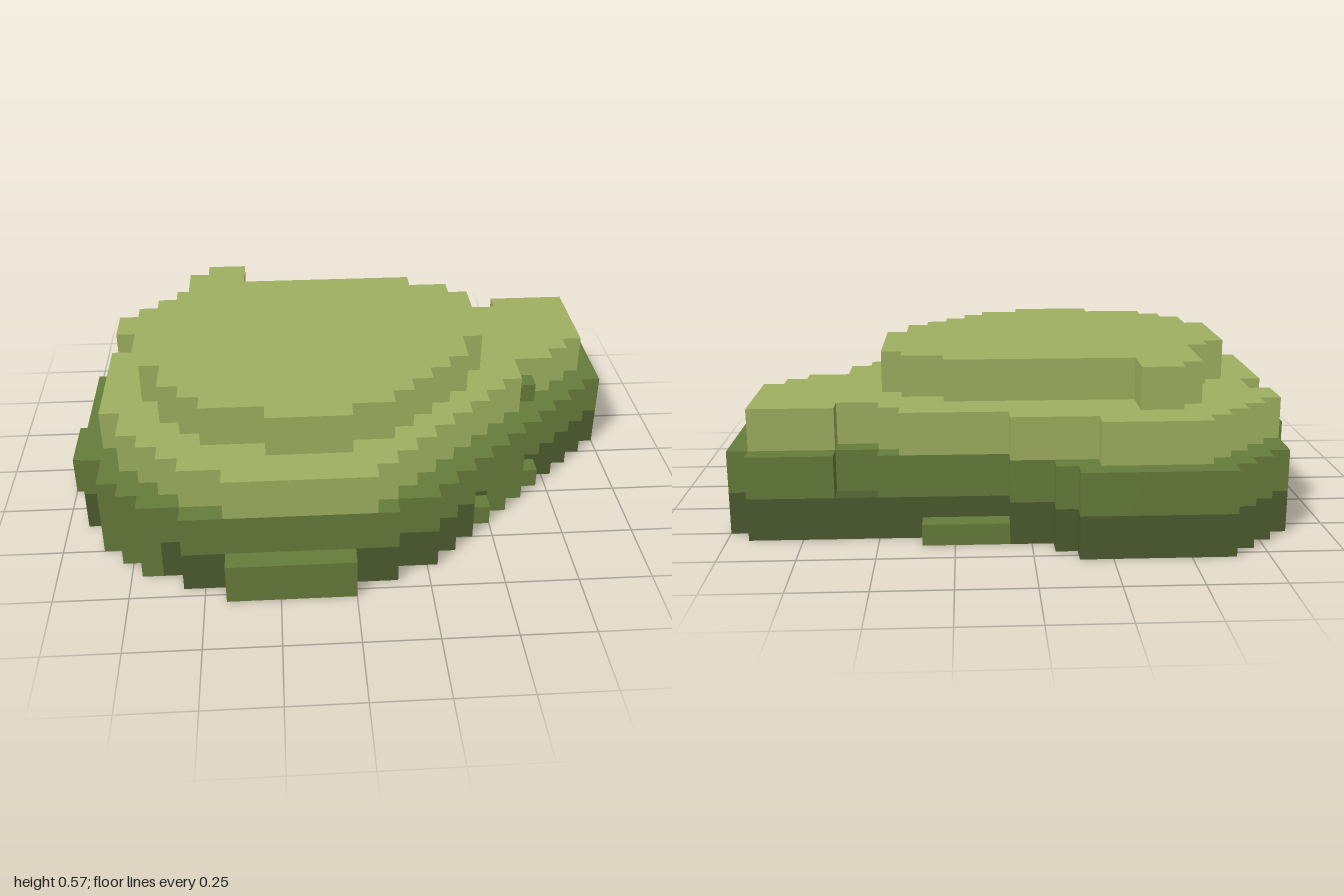
import * as THREE from 'three';

const U = 1 / 14; // one cell

const paint = (name, color) => {
  const m = new THREE.MeshStandardMaterial({ color, side: THREE.DoubleSide });
  m.name = name;
  return m;
};

// A mask is a set of cells, given as [row z, [x0, x1], ...] spans
function mask(rows) {
  const set = new Set();
  for (const [z, ...spans] of rows)
    for (const [a, b] of spans) for (let x = a; x < b; x++) set.add(x + ',' + z);
  return set;
}
// One span per row, counted from the row z0
const spans = (z0, list) => list.map((s, i) => [z0 + i, s]);
const without = (a, b) => new Set([...a].filter((c) => !b.has(c)));
const union = (...sets) => new Set(sets.flatMap((s) => [...s]));
const NONE = new Set();

// Open-bottomed slab of cells: outline walls, tops not under `above`,
// undersides that overhang `below`, no walls against `beside`
function slab(name, cells, y0, y1, material, { above = NONE, below = null, beside = NONE } = {}) {
  const pos = [];
  const quad = (a, b, c, d) => {
    for (const p of [a, b, c, a, c, d]) pos.push(p[0] * U, p[1] * U, p[2] * U);
  };
  for (const key of cells) {
    const [x, z] = key.split(',').map(Number);
    const X = x + 1, Z = z + 1;
    const open = (i, j) => !cells.has(i + ',' + j) && !beside.has(i + ',' + j);
    if (!above.has(key)) quad([x, y1, z], [x, y1, Z], [X, y1, Z], [X, y1, z]);
    if (below && !below.has(key)) quad([x, y0, z], [X, y0, z], [X, y0, Z], [x, y0, Z]);
    if (open(X, z)) quad([X, y0, Z], [X, y0, z], [X, y1, z], [X, y1, Z]);
    if (open(x - 1, z)) quad([x, y0, z], [x, y0, Z], [x, y1, Z], [x, y1, z]);
    if (open(x, Z)) quad([x, y0, Z], [X, y0, Z], [X, y1, Z], [x, y1, Z]);
    if (open(x, z - 1)) quad([X, y0, z], [x, y0, z], [x, y1, z], [X, y1, z]);
  }
  const g = new THREE.BufferGeometry();
  g.setAttribute('position', new THREE.Float32BufferAttribute(pos, 3));
  g.computeVertexNormals();
  const mesh = new THREE.Mesh(g, material);
  mesh.name = name;
  return mesh;
}

export function createModel() {
  const light = paint('lightMoss', 0x9fb060);
  const mid = paint('midMoss', 0x667c3b);
  const dark = paint('darkMoss', 0x4d5c2f);

  // Second terrace, widest outline, with a notch at the back
  const second = mask([
    ...spans(-11, [[-9, -2], [-10, -1], [-11, 1]]),
    [-8, [-12, 7], [9, 13]],
    ...spans(-7, [
      [-12, 14], [-12, 14], [-12, 14], [-12, 14], [-13, 14], [-13, 14], [-13, 13],
      [-13, 12], [-13, 11], [-13, 10], [-13, 9], [-13, 8], [-12, 7], [-12, 6],
      [-11, 5], [-10, 4], [-8, 2],
    ]),
  ]);
  const third = mask([
    ...spans(-10, [[-8, -3], [-9, 1], [-10, 6]]),
    [-7, [-11, 7], [9, 13]],
    ...spans(-6, [
      [-12, 13], [-12, 13], [-11, 13], [-11, 13], [-12, 12], [-12, 11], [-12, 9],
      [-12, 9], [-12, 8], [-12, 7], [-11, 6], [-11, 5], [-10, 4], [-9, 3],
      [-8, 2], [-6, 1],
    ]),
  ]);
  const top = mask(spans(-8, [
    [-7, -5], [-8, -5], [-8, 4], [-8, 6], [-8, 7], [-9, 7], [-10, 7], [-10, 7],
    [-10, 7], [-10, 6], [-10, 6], [-9, 5], [-9, 4], [-8, 3], [-7, 2], [-4, 0],
  ]));

  // Moss patches around the foot, full and half height
  const patches = mask([
    [10, [-6, 0]],
    ...spans(-1, [[-14, -13], [-14, -13], [-14, -13]]),
    ...spans(3, [[8, 9], [7, 8]]),
    ...spans(5, [[-12, -11], [-12, -11], [-11, -10], [-10, -9]]),
  ]);
  const lowPatches = mask([[-9, [1, 5]], [2, [9, 10]], [5, [6, 7]]]);
  const ledgePatch = mask([[0, [9, 10]]]);

  const notch = mask([[-8, [7, 9]]]);
  const base = without(union(second, notch), union(patches, lowPatches));

  const group = new THREE.Group();
  group.name = 'terracedMound';
  group.add(
    slab('baseTerrace', base, 0, 2, dark, { above: second, beside: patches }),
    slab('footPatches', patches, 0, 2, mid, { above: second, beside: base }),
    slab('lowFootPatches', lowPatches, 0, 1, mid, { beside: base }),
    slab('secondTerrace', second, 2, 4, mid, { above: third, below: union(base, patches) }),
    slab('ledgePatch', ledgePatch, 4, 5, mid, { beside: third }),
    slab('thirdTerrace', third, 4, 6, light, { above: top, below: second }),
    slab('topTerrace', top, 6, 8, light, { below: third }),
  );
  return group;
}
